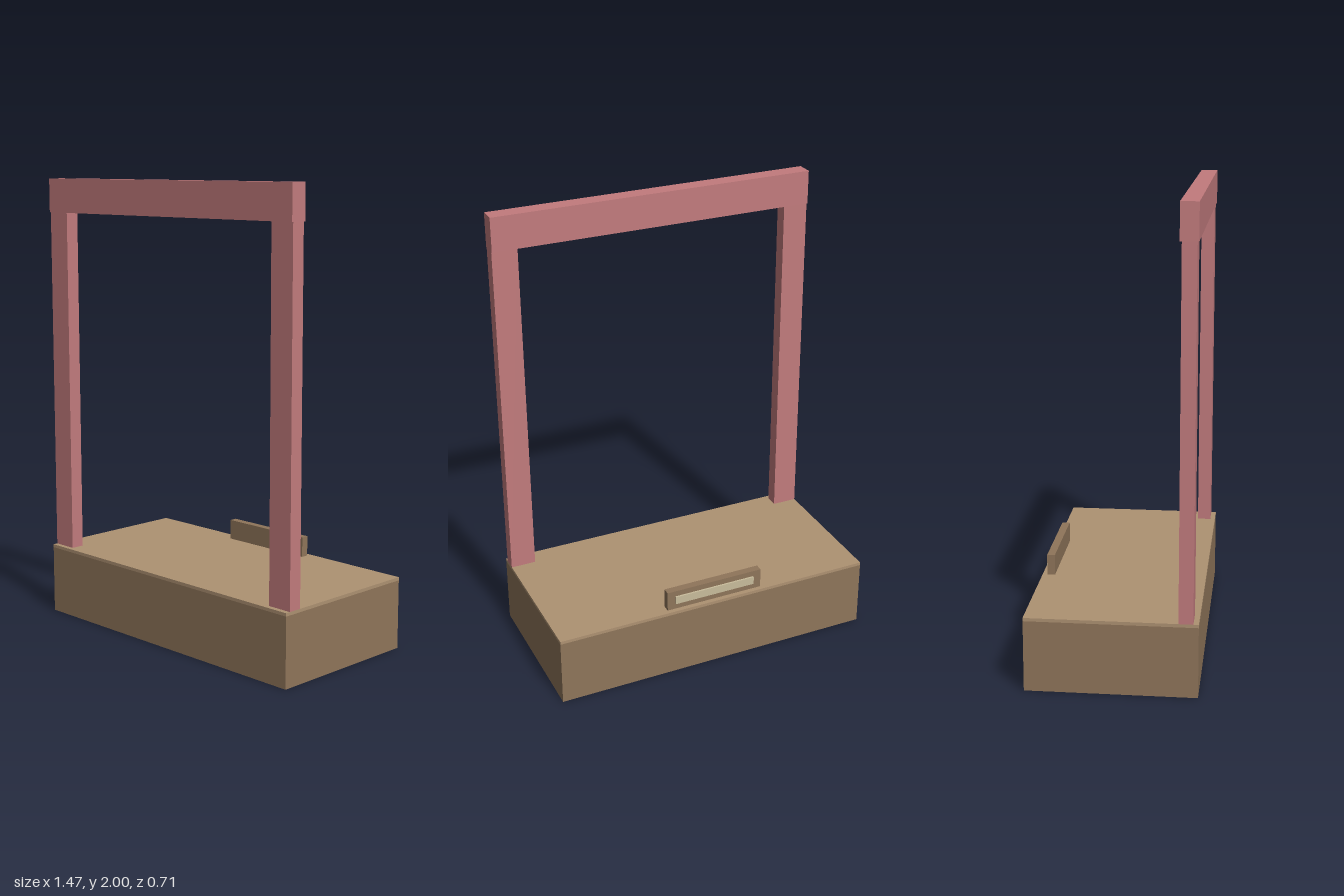
import * as THREE from 'three';

const mat = (color) => new THREE.MeshStandardMaterial({ color });

export function createModel() {
  const group = new THREE.Group();
  const wood = mat(0x8f755a), deck = mat(0xae9272), red = mat(0xc27b7d), pale = mat(0xc9bd9c);

  // Box given by its low and high corners
  const box = (name, material, [x0, y0, z0], [x1, y1, z1]) => {
    const mesh = new THREE.Mesh(new THREE.BoxGeometry(x1 - x0, y1 - y0, z1 - z0), material);
    mesh.position.set((x0 + x1) / 2, (y0 + y1) / 2, (z0 + z1) / 2);
    mesh.name = name;
    group.add(mesh);
  };

  // Platform with a thin floor on top
  box('platform', wood, [-0.735, 0, -0.357], [0.735, 0.303, 0.357]);
  box('floor', deck, [-0.735, 0.303, -0.357], [0.735, 0.317, 0.357]);

  // Gate frame along the front edge
  box('rightPost', red, [-0.735, 0.317, 0.275], [-0.622, 1.85, 0.335]);
  box('leftPost', red, [0.622, 0.317, 0.275], [0.735, 1.85, 0.335]);
  box('crossBeam', red, [-0.735, 1.85, 0.267], [0.735, 2, 0.341]);

  // Low sign at the back edge, with a pale panel facing backwards
  box('signBoard', wood, [-0.227, 0.317, -0.336], [0.227, 0.407, -0.302]);
  box('signPanel', pale, [-0.19, 0.345, -0.344], [0.19, 0.381, -0.336]);

  return group;
}
